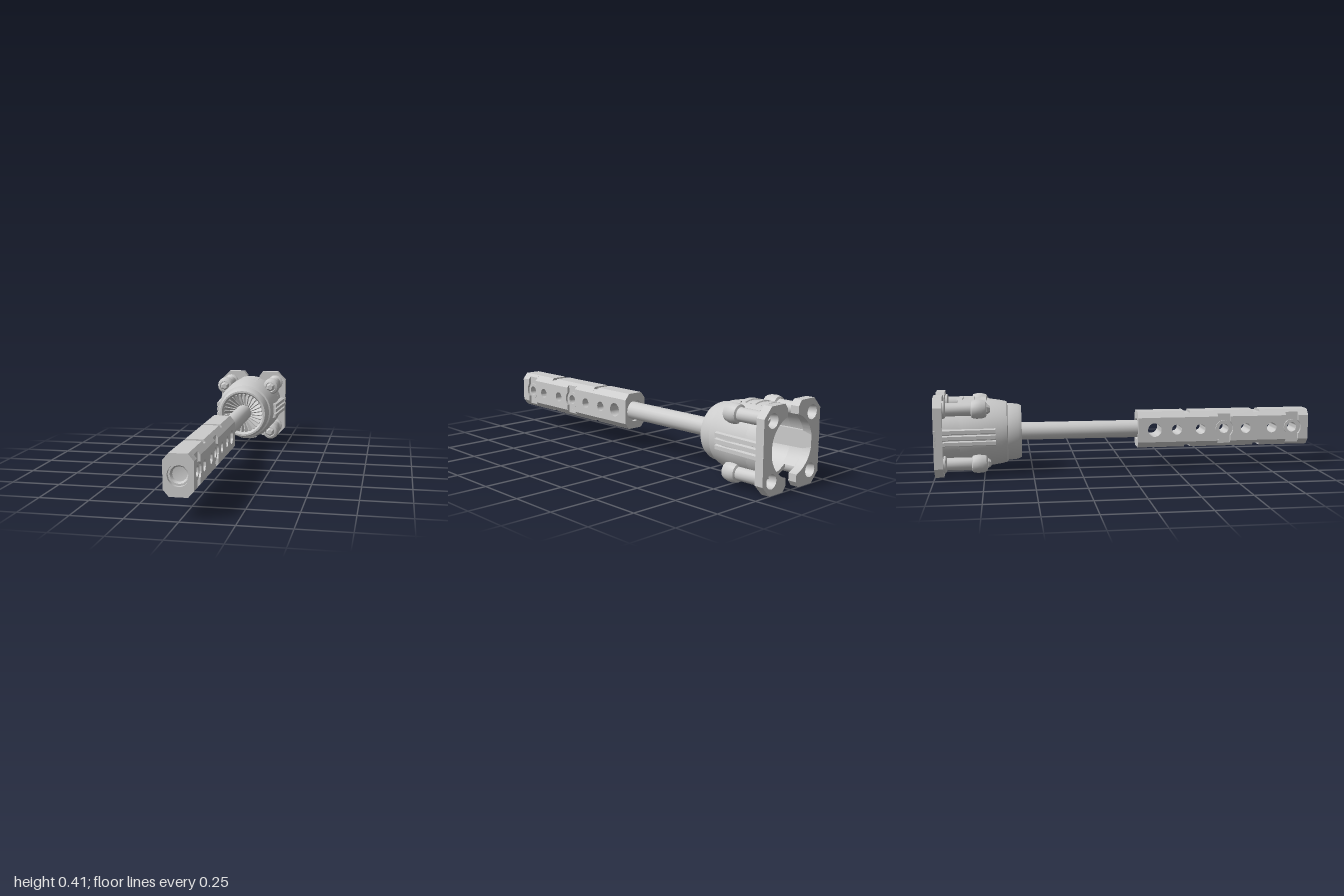
import * as THREE from 'three';
import { toCreasedNormals } from 'three/addons/utils/BufferGeometryUtils.js';

const material = new THREE.MeshStandardMaterial({ color: 0xcccccc, side: THREE.DoubleSide });

function add(parent, name, geometry, crease = 0.55) {
  const mesh = new THREE.Mesh(toCreasedNormals(geometry, crease), material);
  mesh.name = name;
  parent.add(mesh);
  return mesh;
}

const polygon = (points) => new THREE.Shape(points.map(([x, y]) => new THREE.Vector2(x, y)));

function circle(x, y, r, Type = THREE.Path) {
  const path = new Type();
  path.absarc(x, y, r, 0, Math.PI * 2, false);
  return path;
}

// Turned part along z; profile is [radius, z] pairs
function turned(profile, segments, start = 0, length = Math.PI * 2) {
  const points = profile.map(([r, z]) => new THREE.Vector2(r, z));
  return new THREE.LatheGeometry(points, segments, start, length).rotateX(Math.PI / 2);
}

// Section in x-y pushed along z
function alongZ(shape, z0, z1, curveSegments = 16) {
  return new THREE.ExtrudeGeometry(shape, { depth: z1 - z0, bevelEnabled: false, curveSegments }).translate(0, 0, z0);
}

// Side outline (z, y) given a thickness in x, centred on x
function acrossX(shape, x, thickness, curveSegments = 12) {
  return new THREE.ExtrudeGeometry(shape, { depth: thickness, bevelEnabled: false, curveSegments })
    .translate(0, 0, -thickness / 2).rotateY(-Math.PI / 2).translate(x, 0, 0);
}

function buildHandle() {
  const handle = new THREE.Group();
  handle.name = 'handle';
  const W = 0.07, H = 0.097, Y = 0.065, slots = [0.53, 0.91];

  // Core plate with the row of cross holes
  const core = polygon([[0.08, -Y], [0.965, -Y], [0.965, Y], [0.08, Y]]);
  const holes = [[0.15, 0.037], [0.27, 0.027], [0.4, 0.027], [0.53, 0.026], [0.65, 0.027], [0.795, 0.027], [0.91, 0.026]];
  holes.forEach(([z, r]) => core.holes.push(circle(z, 0, r)));
  add(handle, 'handleCore', acrossX(core, 0, 0.112));

  // Outer cheeks, with round bites beside the two slots
  const cheeks = [[0.08, 0.495, null, slots[0]], [0.565, 0.875, slots[0], slots[1]], [0.945, 0.965, slots[1], null]];
  for (const side of [-1, 1]) {
    for (const [a, b, biteA, biteB] of cheeks) {
      const s = new THREE.Shape();
      s.moveTo(a, -Y);
      s.lineTo(b, -Y);
      if (biteB) s.absarc(biteB, 0, 0.05, Math.PI + 0.795, Math.PI - 0.795, true);
      s.lineTo(b, Y);
      s.lineTo(a, Y);
      if (biteA) s.absarc(biteA, 0, 0.05, 0.795, -0.795, true);
      holes.filter(([z]) => z > a && z < b).forEach(([z, r]) => s.holes.push(circle(z, 0, r)));
      add(handle, 'handleCheek', acrossX(s, side * 0.063, 0.014));
    }
    // Bushings in the slots: one hexagonal, one round
    slots.forEach((z, i) => {
      const ring = circle(z, 0, i ? 0.042 : 0.045, THREE.Shape);
      ring.holes.push(circle(z, 0, 0.026));
      add(handle, 'bushing', acrossX(ring, side * 0.059, 0.008, i ? 16 : 6));
    });
  }

  // Chamfered upper and lower strips, stepped at grooves and slots: [z0, z1, half width, half height]
  const strips = [
    [0.08, 0.315, W, H], [0.315, 0.345, W, 0.085], [0.345, 0.495, W, H], [0.495, 0.565, 0.058, H],
    [0.565, 0.695, W, H], [0.695, 0.73, W, 0.085], [0.73, 0.875, W, H], [0.875, 0.945, 0.056, H], [0.945, 0.965, W, H],
  ];
  for (const [z0, z1, w, h] of strips) {
    const edge = W - (h - Y) * 0.85;
    const shoulder = Y + (W - w) / 0.85;
    for (const s of [-1, 1]) {
      const section = [[-w, Y - 0.002], [w, Y - 0.002], [w, shoulder + 0.001], [edge, h], [-edge, h], [-w, shoulder + 0.001]];
      const mesh = add(handle, 'handleStrip', alongZ(polygon(section), z0, z1));
      if (s < 0) mesh.rotation.z = Math.PI;
    }
  }

  // End collars and the dished pommel recess
  const collar = [[W, -Y], [W, Y], [0.043, H], [-0.043, H], [-W, Y], [-W, -Y], [-0.043, -H], [0.043, -H]];
  for (const [z0, z1, r] of [[0.06, 0.08, 0.058], [0.965, 1, 0.051]]) {
    const section = polygon(collar);
    section.holes.push(circle(0, 0, r));
    add(handle, 'handleCollar', alongZ(section, z0, z1, 12));
  }
  add(handle, 'pommelDish', turned([[0, 0.967], [0.034, 0.972], [0.042, 0.985], [0.051, 0.985]], 12));
  return handle;
}

function buildHead() {
  const head = new THREE.Group();
  head.name = 'head';

  // Bell housing with hollow back
  add(head, 'bell', turned([
    [0.182, -0.88], [0.182, -0.76], [0.173, -0.7], [0.167, -0.66], [0.16, -0.632], [0.151, -0.628], [0.146, -0.575],
    [0.137, -0.557], [0.127, -0.557], [0.121, -0.567], [0.116, -0.59], [0.045, -0.64], [0.045, -0.685],
    [0.1, -0.7], [0.15, -0.76], [0.165, -0.88], [0.182, -0.88],
  ], 40));

  // Swirled blades inside the mouth
  for (let i = 0; i < 28; i++) {
    const blade = new THREE.BoxGeometry(0.076, 0.006, 0.04).rotateX(0.6).rotateY(-0.3).translate(0.082, 0, -0.598);
    add(head, 'blade', blade.rotateZ((i / 28) * Math.PI * 2));
  }

  // Raised bands above and below
  for (const start of [-0.3, Math.PI - 0.3]) {
    for (const z of [-0.75, -0.81, -0.87]) {
      add(head, 'band', turned([[0.178, z - 0.018], [0.187, z - 0.014], [0.187, z + 0.014], [0.174, z + 0.02]], 8, start, 0.6));
    }
  }

  for (const turn of [0, Math.PI]) {
    const side = new THREE.Group();
    side.name = turn ? 'rightSide' : 'leftSide';
    side.rotation.z = turn;
    head.add(side);

    // Side wall joining the bell to the back plate
    add(side, 'sideWall', turned(
      [[0.182, -0.96], [0.182, -0.87], [0.162, -0.87], [0.162, -0.96], [0.182, -0.96]], 16, Math.PI / 2 - 0.9, 1.8));

    // Back plate with round openings for the posts
    const plate = polygon([[0.04, -0.18], [0.06, -0.207], [0.155, -0.207], [0.205, -0.155],
      [0.205, 0.155], [0.155, 0.207], [0.06, 0.207], [0.04, 0.18]]);
    const a = Math.acos(0.04 / 0.148);
    plate.absarc(0, 0, 0.148, a, -a, true);
    for (const s of [-1, 1]) plate.holes.push(circle(0.143, s * 0.14, 0.04));
    add(side, 'backPlate', alongZ(plate, -1, -0.955, 24));

    // Ribbed grip narrowing toward the front
    const ribs = [[0.145, -0.044]];
    for (const y of [-0.03, 0, 0.03]) ribs.push([0.192, y - 0.014], [0.206, y - 0.009], [0.206, y + 0.009], [0.192, y + 0.014]);
    ribs.push([0.145, 0.044]);
    const grip = alongZ(polygon(ribs), -1, -0.69);
    const p = grip.attributes.position;
    for (let i = 0; i < p.count; i++) if (p.getZ(i) > -0.8) p.setX(i, p.getX(i) - 0.022);
    grip.computeVertexNormals();
    add(side, 'ribbedGrip', grip, 0.3);

    // Corner posts: hollow foot, shaft, rounded cap and hex bolt
    for (const s of [-1, 1]) {
      const post = new THREE.Group();
      post.name = 'cornerPost';
      post.position.set(0.143, s * 0.14, 0);
      side.add(post);
      add(post, 'postShaft', turned([
        [0, -0.93], [0.028, -0.93], [0.036, -1], [0.046, -1], [0.046, -0.945], [0.034, -0.938], [0.034, -0.812],
        [0.045, -0.808], [0.05, -0.785], [0.049, -0.76], [0.042, -0.738], [0.03, -0.733], [0.028, -0.75], [0, -0.75],
      ], 16));
      add(post, 'postBolt', turned([[0.026, -0.752], [0.026, -0.73], [0.016, -0.716], [0, -0.716]], 6), 0.3);
    }
  }
  return head;
}

export function createModel() {
  const model = new THREE.Group();
  model.name = 'model';
  model.position.y = 0.207;
  model.add(buildHandle(), buildHead());

  // Shaft with a bored rear end
  add(model, 'shaft', turned([
    [0, -0.8], [0.022, -0.8], [0.022, -0.86], [0.036, -0.86], [0.036, -0.8], [0.047, -0.79], [0.047, 0.09], [0, 0.09],
  ], 20));

  const root = new THREE.Group();
  root.add(model);
  return root;
}
